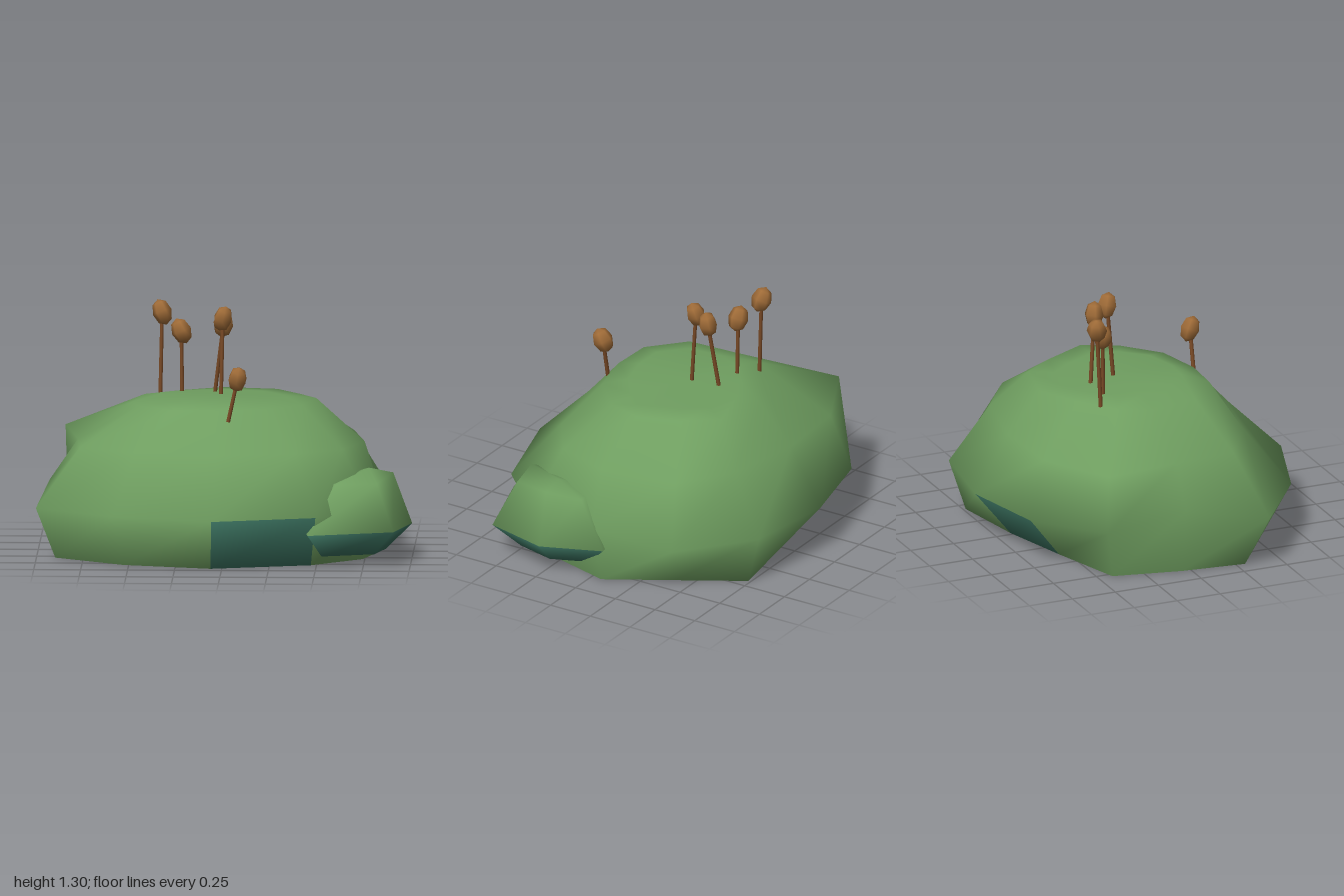
import * as THREE from 'three';

const material = (name, color) => {
  const m = new THREE.MeshStandardMaterial({ color });
  m.name = name;
  return m;
};

// Skin stacked rings (listed counter-clockwise from above, bottom to top).
// Each ring is a list of [x, y, z]; isDark(band, column) picks the second colour.
function skinRings(rings, top, bottom, isDark) {
  const n = rings[0].length;
  const pos = [...rings.flat(), top].flat();
  const parts = [[], []];
  for (let r = 0; r < rings.length - 1; r++) {
    for (let j = 0; j < n; j++) {
      const k = (j + 1) % n;
      const a = r * n + j, b = r * n + k, c = (r + 1) * n + k, d = (r + 1) * n + j;
      parts[isDark(r, j) ? 1 : 0].push(a, b, c, a, c, d);
    }
  }
  const last = (rings.length - 1) * n, tip = rings.length * n;
  for (let j = 0; j < n; j++) parts[0].push(last + j, last + (j + 1) % n, tip);
  const walls = new THREE.BufferGeometry();
  walls.setAttribute('position', new THREE.Float32BufferAttribute(pos, 3));
  walls.setIndex([...parts[0], ...parts[1]]);
  walls.addGroup(0, parts[0].length, 0);
  walls.addGroup(parts[0].length, parts[1].length, 1);
  walls.computeVertexNormals();

  // Underside fan
  const base = new THREE.BufferGeometry();
  base.setAttribute('position', new THREE.Float32BufferAttribute([...rings[0], bottom].flat(), 3));
  const fan = [];
  for (let j = 0; j < n; j++) fan.push((j + 1) % n, j, n);
  base.setIndex(fan);
  base.computeVertexNormals();
  return { walls, base };
}

// A ring at height y; a point may carry its own height as a third number
const level = (y, pts) => pts.map(([x, z, own = y]) => [x, own, z]);
const shrink = (pts, s, cx, cz) => pts.map(([x, z]) => [cx + (x - cx) * s, cz + (z - cz) * s]);

export function createModel() {
  const group = new THREE.Group();
  const leaf = material('leaf green', 0x6f9e60);
  const shade = material('deep teal green', 0x3a705e);
  const stemBrown = material('stem brown', 0x7a4a26);
  const headBrown = material('seed brown', 0xa06c38);

  const add = (name, geometry, mat) => {
    const mesh = new THREE.Mesh(geometry, mat);
    mesh.name = name;
    group.add(mesh);
    return mesh;
  };

  // Main mound
  const foot = [[-0.06, 0.69], [0.47, 0.54], [0.74, 0.3], [0.84, -0.06], [0.64, -0.4], [0.44, -0.735],
    [0.02, -0.66], [-0.37, -0.55], [-0.78, -0.42], [-0.86, -0.05], [-0.9, 0.3], [-0.53, 0.56]];
  const waist = [[-0.05, 0.885], [0.5, 0.72], [0.8, 0.42], [0.84, 0], [0.85, -0.51], [0.47, -0.82],
    [-0.04, -0.89], [-0.52, -0.78], [-0.86, -0.48], [-0.94, -0.06, 0.37], [-1, 0.4], [-0.58, 0.71]];
  const shoulder = [[-0.04, 0.57], [0.38, 0.48], [0.63, 0.31], [0.74, 0], [0.67, -0.42], [0.39, -0.62],
    [-0.04, -0.7], [-0.47, -0.68], [-0.87, -0.48, 0.605], [-0.79, -0.05], [-0.77, 0.29], [-0.47, 0.48]];
  const crown = [[-0.04, 0.38], [0.22, 0.32], [0.41, 0.15], [0.48, -0.05, 0.815], [0.38, -0.28], [0.26, -0.45],
    [-0.03, -0.51], [-0.25, -0.39], [-0.44, -0.24], [-0.5, -0.05, 0.79], [-0.46, 0.2], [-0.27, 0.37]];
  // The flat top leans slightly to the back right
  const plateau = shrink(crown, 0.7, -0.01, -0.06).map(([x, z]) => [x, z, 0.828 + 0.04 * z - 0.02 * x]);
  const mound = skinRings(
    [level(0, foot), level(0.28, waist), level(0.59, shoulder), level(0.805, crown), level(0, plateau)],
    [-0.02, 0.832, -0.06], [-0.03, 0.01, -0.03],
    (band, column) => band === 0 && (column === 0 || column === 6));
  add('mound', mound.walls, [leaf, shade]);
  add('moundUnderside', mound.base, shade);

  // Small side clump
  const clumpWaist = [[0.46, 0.73], [0.91, 0.58], [1, 0.23], [0.87, -0.09], [0.6, -0.05], [0.5, 0.2], [0.42, 0.5]];
  const clumpTop = [[0.6, 0.53], [0.82, 0.48], [0.9, 0.25, 0.46], [0.83, 0.07], [0.65, 0.08], [0.58, 0.25], [0.57, 0.42]];
  const clump = skinRings(
    [level(0.05, shrink(clumpWaist, 0.62, 0.64, 0.28)), level(0.185, clumpWaist), level(0.43, clumpTop)],
    [0.77, 0.485, 0.25], [0.66, 0.04, 0.28],
    (band) => band === 0);
  add('sideClump', clump.walls, [leaf, shade]);
  add('sideClumpUnderside', clump.base, shade);

  // Seed stalks: base point, head centre, head tilt
  const stalks = [
    [[-0.36, 0.76, -0.3], [-0.35, 1.235, -0.32], 0.35],
    [[-0.24, 0.76, -0.235], [-0.245, 1.145, -0.24], 0.4],
    [[-0.07, 0.78, -0.235], [-0.02, 1.19, -0.19], -0.15],
    [[-0.03, 0.78, -0.08], [-0.02, 1.23, -0.115], -0.25],
    [[0.025, 0.75, 0.41], [0.075, 0.98, 0.41], -0.15],
  ];
  const up = new THREE.Vector3(0, 1, 0);
  const headGeometry = new THREE.SphereGeometry(0.053, 6, 4).scale(0.98, 1.36, 1.06);
  stalks.forEach(([from, to, tilt], i) => {
    const a = new THREE.Vector3(...from), b = new THREE.Vector3(...to);
    const dir = b.clone().sub(a);
    const stem = add('stem' + (i + 1), new THREE.CylinderGeometry(0.011, 0.012, dir.length(), 6), stemBrown);
    stem.position.copy(a).add(b).multiplyScalar(0.5);
    stem.quaternion.setFromUnitVectors(up, dir.normalize());
    const head = add('seedHead' + (i + 1), headGeometry, headBrown);
    head.position.copy(b);
    head.rotation.set(-0.2 + 0.15 * i, i * 0.9, tilt, 'ZXY');
  });
  return group;
}
